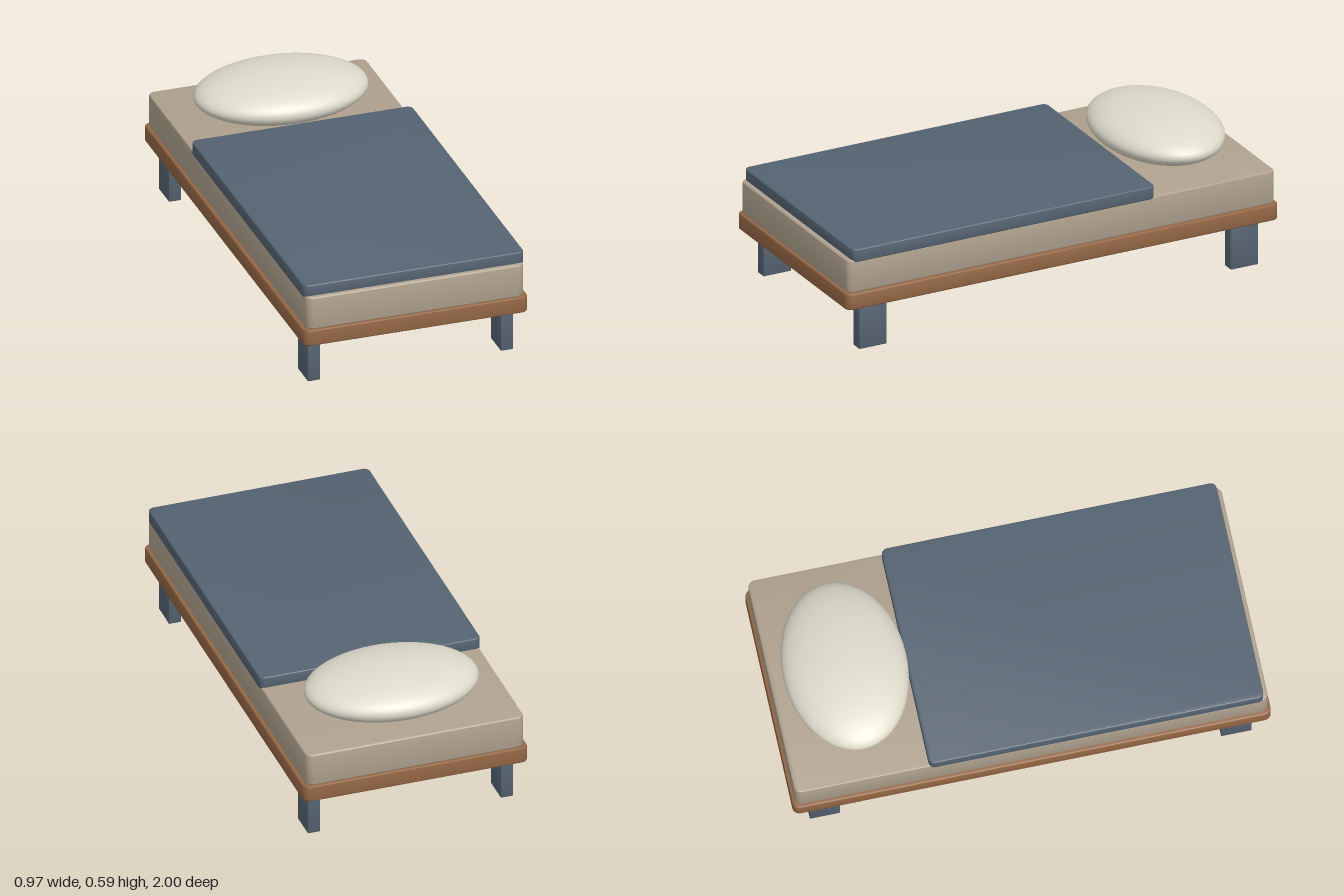
import * as THREE from 'three';
import { toCreasedNormals } from 'three/addons/utils/BufferGeometryUtils.js';

const material = (name, color) => {
  const m = new THREE.MeshStandardMaterial({ color });
  m.name = name;
  return m;
};

// Slab with rounded plan corners and a small bevel on its top and bottom edges
function slab(width, height, depth, radius, bevel) {
  const x = width / 2 - bevel, z = depth / 2 - bevel, r = radius - bevel;
  const s = new THREE.Shape();
  s.moveTo(x, -z + r);
  s.lineTo(x, z - r);
  s.absarc(x - r, z - r, r, 0, Math.PI / 2);
  s.absarc(-x + r, z - r, r, Math.PI / 2, Math.PI);
  s.absarc(-x + r, -z + r, r, Math.PI, Math.PI * 1.5);
  s.absarc(x - r, -z + r, r, Math.PI * 1.5, Math.PI * 2);
  const g = new THREE.ExtrudeGeometry(s, {
    depth: height - 2 * bevel, bevelEnabled: true, bevelThickness: bevel,
    bevelSize: bevel, bevelSegments: 3, curveSegments: 6,
  });
  g.rotateX(-Math.PI / 2);
  g.translate(0, bevel, 0);
  return toCreasedNormals(g, 0.6);
}

export function createModel() {
  const bed = new THREE.Group();
  bed.name = 'bed';
  const wood = material('wood', 0x936644);
  const linen = material('linen', 0xafa18e);
  const slate = material('slate', 0x556371);
  const cream = material('cream', 0xdddacb);

  const add = (name, geometry, mat, x, y, z) => {
    const mesh = new THREE.Mesh(geometry, mat);
    mesh.name = name;
    mesh.position.set(x, y, z);
    bed.add(mesh);
    return mesh;
  };

  // Stacked base, mattress and blanket
  add('frame', slab(0.972, 0.071, 2, 0.03, 0.006), wood, 0, 0.2, 0);
  add('mattress', slab(0.944, 0.145, 1.98, 0.03, 0.007), linen, 0, 0.27, 0);
  add('blanket', slab(0.956, 0.056, 1.4, 0.025, 0.004), slate, 0, 0.407, 0.27);

  // Plump pillow
  const pillow = add('pillow', new THREE.SphereGeometry(1, 48, 32), cream, 0, 0.496, -0.683);
  pillow.scale.set(0.369, 0.097, 0.257);

  // Four legs
  const legGeometry = slab(0.053, 0.203, 0.127, 0.003, 0.0015);
  for (const x of [-1, 1]) for (const z of [-1, 1]) {
    add(`${z > 0 ? 'front' : 'back'}${x > 0 ? 'Left' : 'Right'}Leg`, legGeometry, slate, x * 0.418, 0, z * 0.86);
  }
  return bed;
}
